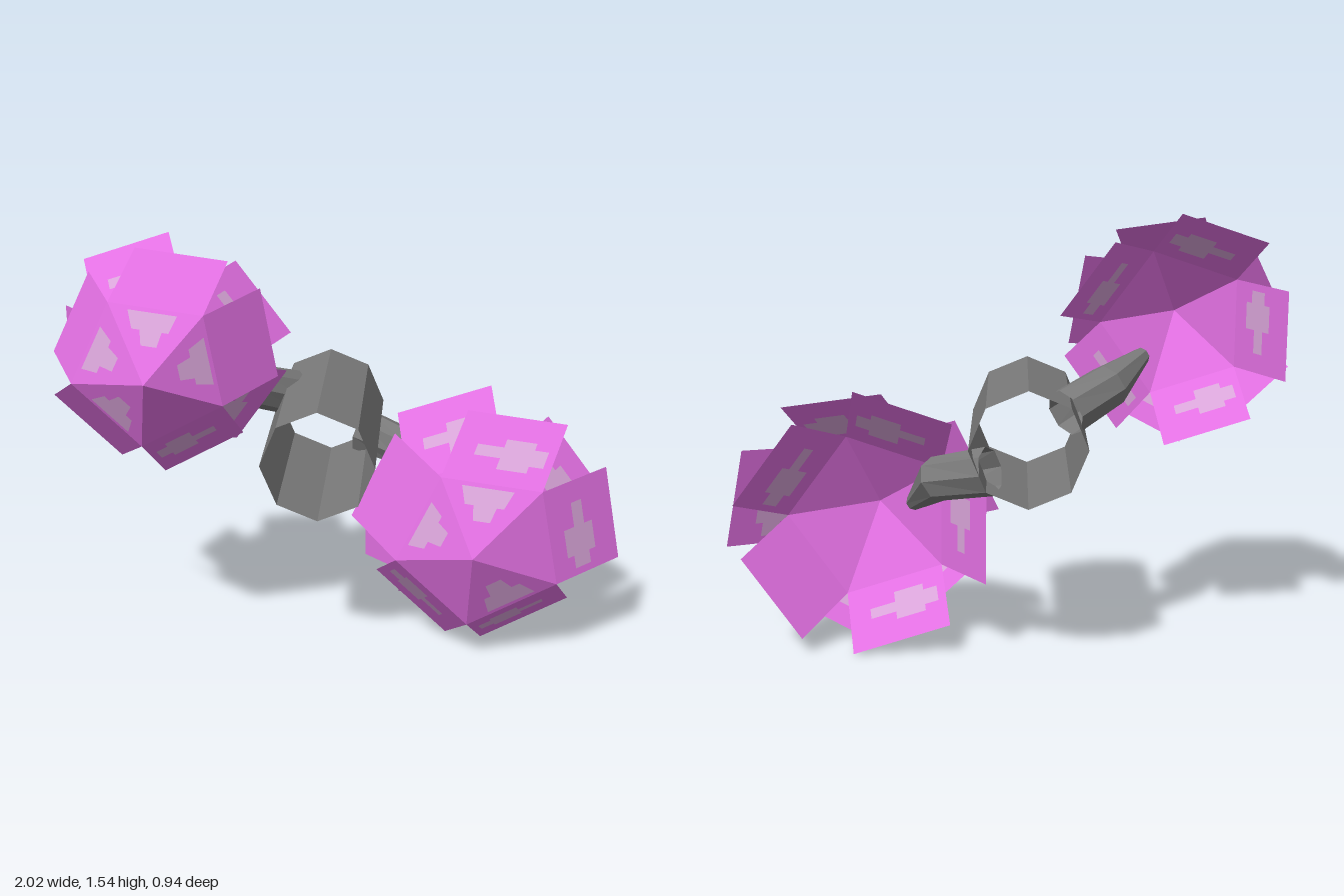
import * as THREE from 'three';

const flat = (color, name) => {
  const m = new THREE.MeshStandardMaterial({ color, flatShading: true, side: THREE.DoubleSide });
  m.name = name;
  return m;
};

// Non-indexed geometry from triangles of Vector3
function fromTriangles(points) {
  const g = new THREE.BufferGeometry().setFromPoints(points);
  g.computeVertexNormals();
  return g;
}
const quad = (a, b, c, d) => [a, b, c, a, c, d];

// Tapered tube: one octagonal ring at each path point
function branchGeometry(path, radii, sides = 8) {
  const rings = path.map((p, i) => {
    const t = path[Math.min(i + 1, path.length - 1)].clone().sub(path[Math.max(i - 1, 0)]).normalize();
    const u = new THREE.Vector3(0, 1, 0).cross(t).normalize();
    const v = t.clone().cross(u);
    return Array.from({ length: sides }, (_, k) => {
      const a = (k / sides) * Math.PI * 2;
      return p.clone().addScaledVector(u, Math.cos(a) * radii[i]).addScaledVector(v, Math.sin(a) * radii[i]);
    });
  });
  const tris = [];
  for (let i = 0; i < rings.length - 1; i++)
    for (let k = 0; k < sides; k++) {
      const n = (k + 1) % sides;
      tris.push(...quad(rings[i][k], rings[i][n], rings[i + 1][n], rings[i + 1][k]));
    }
  return fromTriangles(tris);
}

// Pale marks as [u0, u1, v0, v1] across a petal blade or its inner triangle
const bladeMarks = [[0.22, 0.48, 0.38, 0.54], [0.48, 0.78, 0.22, 0.66], [0.78, 0.92, 0.32, 0.56]];
const tipMarks = [[0.2, 0.75, 0.06, 0.3], [0.32, 0.65, 0.3, 0.5]];

// Five petals: a shallow cone of triangles, each continued by a straight blade.
// ends = reach of each blade, sway = its sideways lean
function petalLayer({ ring, ringDepth, endDepth }, { angle, shift, ends, sway, tips, blades }) {
  const petals = [], marks = [];
  const apothem = ring * Math.cos(Math.PI / 5), half = ring * Math.sin(Math.PI / 5);
  const apex = new THREE.Vector3();
  ends.forEach((end, i) => {
    const a = THREE.MathUtils.degToRad(angle + 72 * i);
    const at = (r, s, z, k) => new THREE.Vector3(
      Math.cos(a) * r - Math.sin(a) * s + shift[0] * k,
      Math.sin(a) * r + Math.cos(a) * s + shift[1] * k, -z);
    const r0 = at(apothem, half, ringDepth, 0.6), r1 = at(apothem, -half, ringDepth, 0.6);
    const e0 = at(end, sway[i] + half, endDepth, 1), e1 = at(end, sway[i] - half, endDepth, 1);
    petals.push(apex, r1, r0, ...quad(r0, r1, e1, e0));

    // Marks lie just off both sides of the petal
    const stamp = (list, c0, c1) => {
      const n = r1.clone().sub(r0).cross(c0.clone().sub(r0)).normalize();
      for (const [u0, u1, v0, v1] of list)
        for (const off of [-0.003, 0.003]) {
          const P = (u, v) => r0.clone().lerp(r1, u).lerp(c0.clone().lerp(c1, u), v).addScaledVector(n, off);
          marks.push(...quad(P(u0, v0), P(u1, v0), P(u1, v1), P(u0, v1)));
        }
    };
    if (blades.includes(i)) stamp(bladeMarks, e0, e1);
    if (tips.includes(i)) stamp(tipMarks, apex, apex);
  });
  return [fromTriangles(petals), fromTriangles(marks)];
}

export function createModel() {
  const model = new THREE.Group();
  const grey = flat(0x797979, 'stem grey');
  const violet = flat(0xe270e2, 'petal violet');
  const pale = flat(0xd8a4d8, 'pale mark');
  const add = (parent, geo, mat, name) => {
    const m = new THREE.Mesh(geo, mat);
    m.name = name;
    parent.add(m);
    return m;
  };

  // Open octagonal stem lying along z
  const stem = add(model, new THREE.CylinderGeometry(0.2, 0.2, 0.72, 8, 1, true).rotateX(Math.PI / 2), grey, 'stem');
  stem.position.set(-0.083, 0.78, -0.115);

  // Bent branches reaching from the stem to the flowers
  const V = (x, y, z) => new THREE.Vector3(x, y, z);
  add(model, branchGeometry([V(0.045, 0.69, -0.385), V(0.225, 0.645, -0.3), V(0.32, 0.515, -0.12)],
    [0.085, 0.078, 0.028]), grey, 'leftBranch');
  add(model, branchGeometry([V(-0.21, 0.87, -0.28), V(-0.36, 0.94, -0.155), V(-0.49, 1.02, 0.02)],
    [0.085, 0.078, 0.03]), grey, 'rightBranch');

  // Flowers, each with a front and a back layer of petals
  const flowers = [
    { name: 'leftFlower', apex: [0.457, 0.464, 0.28], ring: 0.305, ringDepth: 0.145, endDepth: 0.34, gap: 0.165,
      front: { angle: 10.3, shift: [0.05, -0.035], ends: [0.465, 0.45, 0.46, 0.395, 0.38],
        sway: [0, -0.045, -0.01, 0.01, -0.03], tips: [1, 2, 4], blades: [0, 1, 3, 4] },
      back: { angle: 36.5, shift: [0.025, -0.035], ends: [0.43, 0.465, 0.42, 0.405, 0.41],
        sway: [-0.015, -0.015, 0, 0, 0], tips: [], blades: [0, 1, 2, 3] } },
    { name: 'rightFlower', apex: [-0.63, 1.14, 0.467], ring: 0.271, ringDepth: 0.165, endDepth: 0.385, gap: 0.137,
      front: { angle: 10.3, shift: [-0.015, -0.01], ends: [0.395, 0.36, 0.33, 0.375, 0.39],
        sway: [0.01, -0.045, 0, 0, -0.04], tips: [0, 1, 2, 3], blades: [4] },
      back: { angle: 36.5, shift: [0.02, -0.04], ends: [0.375, 0.405, 0.38, 0.36, 0.365],
        sway: [-0.03, 0.03, 0, 0, 0.015], tips: [], blades: [0, 1, 2, 3, 4] } },
  ];
  for (const f of flowers) {
    const flower = new THREE.Group();
    flower.name = f.name;
    flower.position.set(...f.apex);
    model.add(flower);
    for (const [label, depth] of [['front', 0], ['back', f.gap]]) {
      const [petals, marks] = petalLayer(f, f[label]);
      add(flower, petals, violet, label + 'Petals').position.z = -depth;
      add(flower, marks, pale, label + 'PetalMarks').position.z = -depth;
    }
  }
  return model;
}
